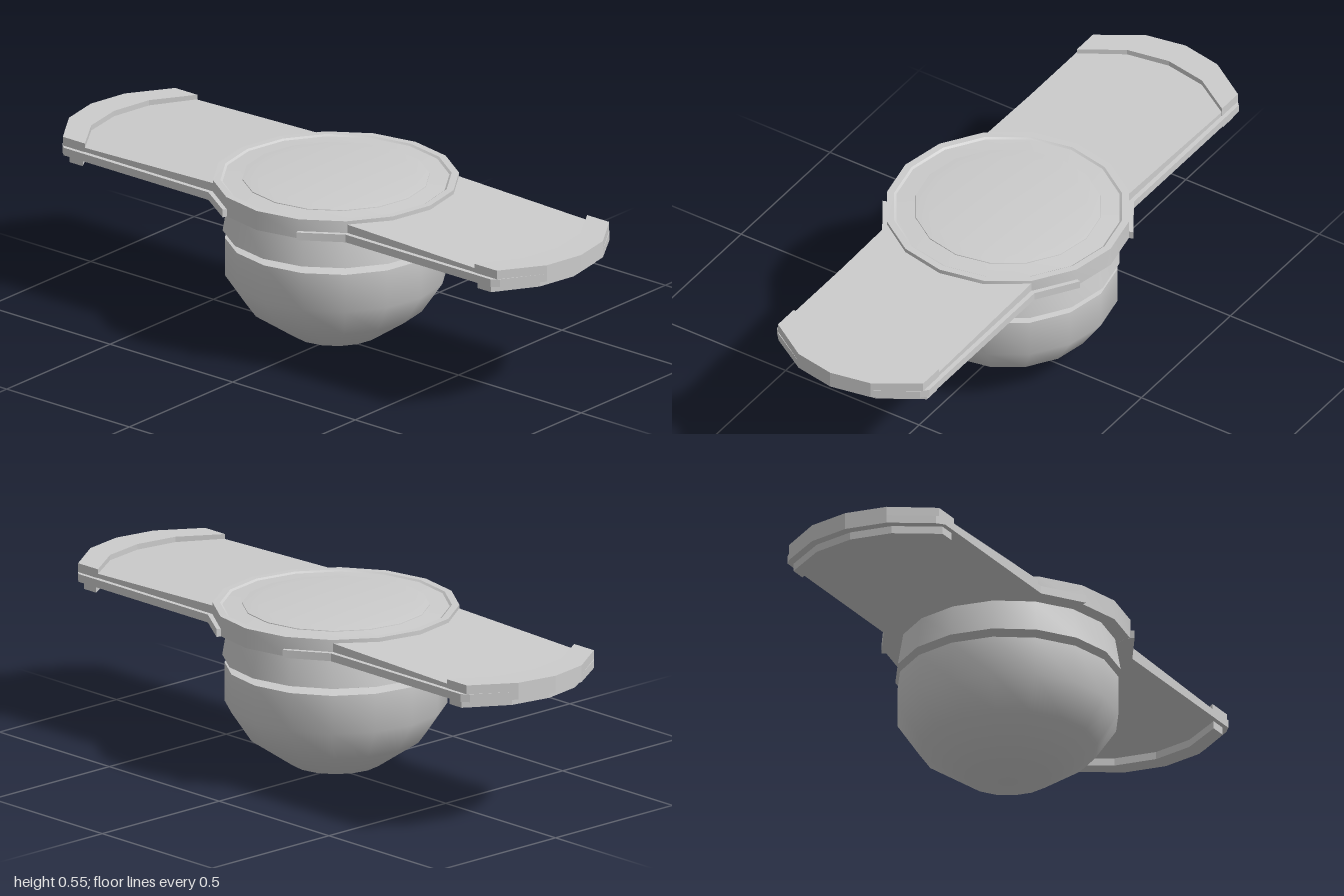
import * as THREE from 'three';
import { toCreasedNormals } from 'three/addons/utils/BufferGeometryUtils.js';

const material = new THREE.MeshStandardMaterial({ color: 0xcccccc });
const SIDES = 16;

function add(parent, name, geometry) {
  const mesh = new THREE.Mesh(geometry, material);
  mesh.name = name;
  parent.add(mesh);
  return mesh;
}

// Round part from a [radius, height] profile, listed bottom to top
function turned(profile, crease) {
  const geo = new THREE.LatheGeometry(profile.map(([r, y]) => new THREE.Vector2(r, y)), SIDES);
  return crease ? toCreasedNormals(geo, crease) : geo;
}

// Half an outline in [x, z], starting on the z = 0 line, mirrored to a whole one
function mirrored(half) {
  const other = half.filter(([, z]) => z > 0).map(([x, z]) => [x, -z]).reverse();
  return [...half, ...other];
}

// Flat plate from an [x, z] outline between two heights
function plate(outline, bottom, top) {
  const shape = new THREE.Shape(outline.map(([x, z]) => new THREE.Vector2(x, z)));
  const geo = new THREE.ExtrudeGeometry(shape, { depth: top - bottom, bevelEnabled: false });
  return geo.rotateX(Math.PI / 2).translate(0, top, 0);
}

// Crescent between an outer and an inner arc, each given from the middle to the side
function crescent(outer, inner) {
  const flip = (arc) => arc.slice(1).map(([x, z]) => [x, -z]);
  return [...flip(outer).reverse(), ...outer, ...[...inner].reverse(), ...flip(inner)];
}

function makeWing() {
  const wing = new THREE.Group();

  // Lower plate, flaring around the collar at its root
  add(wing, 'wingPlate', plate(mirrored([
    [1, 0], [0.975, 0.135], [0.893, 0.265], [0.87, 0.285],
    [0.28, 0.285], [0.15, 0.37], [0.14, 0.34], [0.2, 0.22],
  ]), 0.4745, 0.5));

  // Upper panel, its top sinking slightly towards the tip
  const panel = plate(mirrored([
    [0.98, 0], [0.955, 0.13], [0.87, 0.27], [0.22, 0.27],
  ]), 0.5, 0.525);
  const p = panel.attributes.position;
  for (let i = 0; i < p.count; i++) {
    if (p.getY(i) > 0.51) p.setY(i, 0.528 - (p.getX(i) - 0.27) * 0.027);
  }
  panel.computeVertexNormals();
  add(wing, 'wingPanel', panel);

  // Raised crescent on the tip
  add(wing, 'tipCap', plate(crescent(
    [[1, 0], [0.975, 0.135], [0.885, 0.272]],
    [[0.905, 0], [0.88, 0.14], [0.795, 0.272]],
  ), 0.5, 0.529));

  // Narrower crescent below the tip
  add(wing, 'tipLip', plate(crescent(
    [[0.97, 0], [0.945, 0.135], [0.86, 0.27]],
    [[0.91, 0], [0.885, 0.135], [0.805, 0.27]],
  ), 0.45, 0.476));
  return wing;
}

export function createModel() {
  const model = new THREE.Group();
  model.name = 'wingedPod';

  // Faceted bowl with its flat rim
  add(model, 'bowl', turned([
    [0, 0], [0.145, 0.027], [0.281, 0.12], [0.348, 0.22], [0.348, 0.345],
  ]));
  add(model, 'bowlRim', turned([[0.348, 0.345], [0.28, 0.352]]));

  // Recessed neck between bowl and body
  add(model, 'neck', turned([[0.29, 0.34], [0.295, 0.36], [0.295, 0.372]]));

  // Tapered upper body
  add(model, 'upperBody', turned([
    [0.28, 0.367], [0.355, 0.37], [0.337, 0.476],
  ], 0.7));

  // Collar and raised lid
  add(model, 'collar', turned([
    [0.32, 0.475], [0.385, 0.475], [0.385, 0.539], [0.362, 0.539],
    [0.355, 0.534], [0.29, 0.538],
  ], 0.5));
  add(model, 'lid', turned([
    [0.295, 0.53], [0.293, 0.54], [0.25, 0.545], [0, 0.545],
  ], 0.5));

  // Matching wings on both sides
  const left = makeWing();
  left.name = 'leftWing';
  const right = makeWing();
  right.name = 'rightWing';
  right.rotation.y = Math.PI;
  model.add(left, right);
  return model;
}
